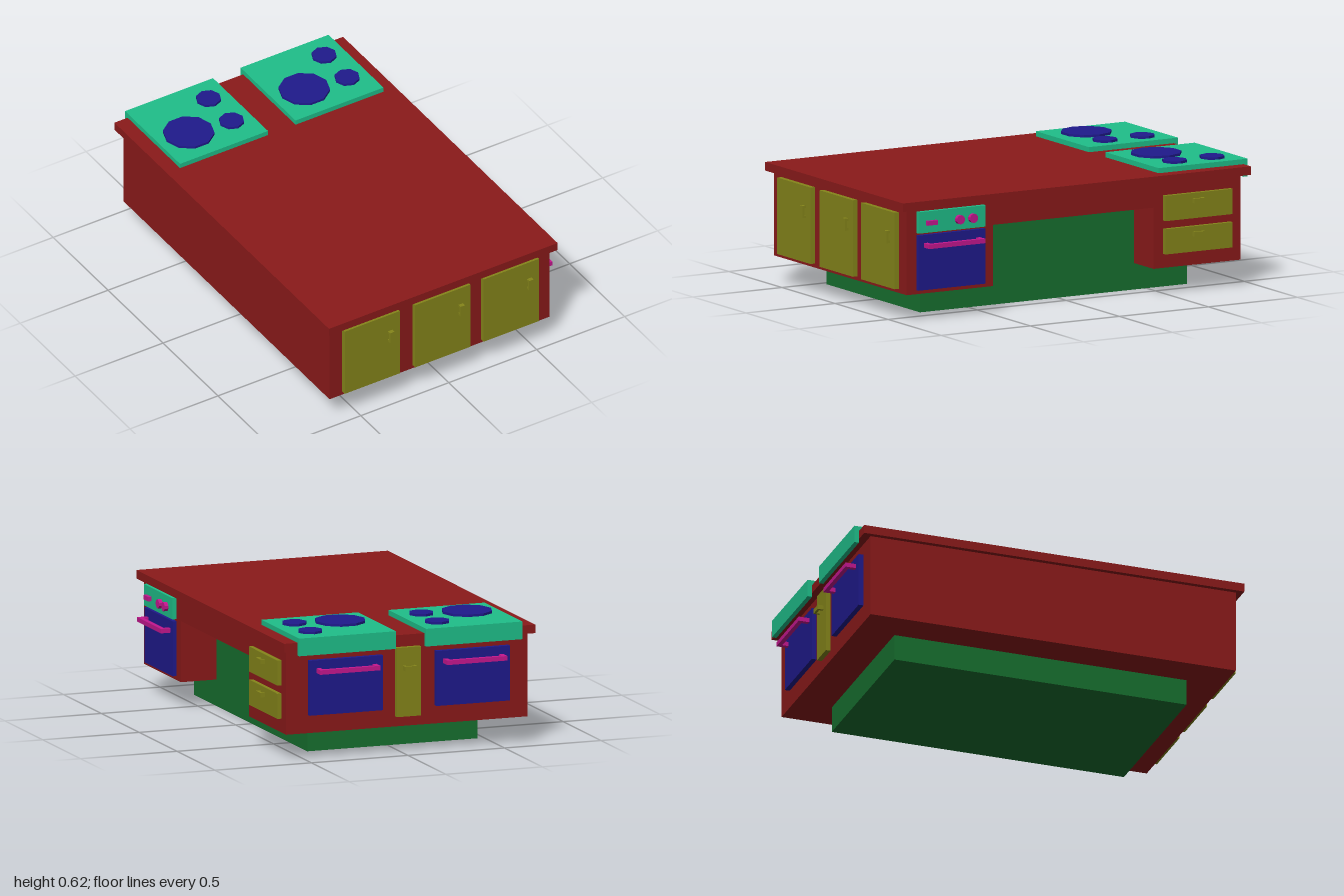
import * as THREE from 'three';

const mat = (color) => new THREE.MeshStandardMaterial({ color, flatShading: true });

export function createModel() {
  const root = new THREE.Group();
  const red = mat(0x8b1a1a), green = mat(0x17702f), blue = mat(0x1f1a8c);
  const teal = mat(0x1fbf8a), olive = mat(0x85851a), magenta = mat(0xc4178f);

  const add = (parent, name, geometry, material) => {
    const m = new THREE.Mesh(geometry, material);
    m.name = name;
    parent.add(m);
    return m;
  };
  // Box given by its limits on each axis
  const box = (parent, name, material, x0, x1, y0, y1, z0, z1) => {
    const m = add(parent, name, new THREE.BoxGeometry(x1 - x0, y1 - y0, z1 - z0), material);
    m.position.set((x0 + x1) / 2, (y0 + y1) / 2, (z0 + z1) / 2);
    return m;
  };
  // Group whose local +z points out of a side of the cabinet
  const panelGroup = (name, x, y, z, turn) => {
    const g = new THREE.Group();
    g.name = name;
    g.position.set(x, y, z);
    g.rotation.y = turn;
    root.add(g);
    return g;
  };
  // U-shaped pull: a bar on two legs, between depths z0 and z1
  const pull = (parent, name, material, x, y, length, thick, z0, z1, bar, upright = false) => {
    const g = new THREE.Group();
    g.name = name;
    g.position.set(x, y, 0);
    if (upright) g.rotation.z = Math.PI / 2;
    parent.add(g);
    const h = length / 2, t = thick / 2;
    box(g, 'handleBar', material, -h, h, -t, t, z1 - bar, z1);
    for (const s of [-1, 1]) {
      const c = s * (h - bar / 2);
      box(g, 'handleLeg', material, c - bar / 2, c + bar / 2, -t, t, z0, z1 - bar);
    }
  };

  // Plinth, also the back wall of the knee recess
  box(root, 'plinth', green, -0.465, 0.415, 0, 0.43, -0.73, 0.77);

  // Cabinet body with an open recess on the right side
  box(root, 'cabinetCore', red, -0.65, 0.4, 0.13, 0.545, -0.92, 0.955);
  const side = new THREE.Shape([
    [-0.955, 0.13], [-0.47, 0.13], [-0.47, 0.43], [0.43, 0.43],
    [0.43, 0.13], [0.92, 0.13], [0.92, 0.545], [-0.955, 0.545],
  ].map(([u, v]) => new THREE.Vector2(u, v)));
  const sideGeo = new THREE.ExtrudeGeometry(side, { depth: 0.2, bevelEnabled: false });
  sideGeo.rotateY(Math.PI / 2).translate(0.4, 0, 0);
  add(root, 'cabinetRightSide', sideGeo, red);
  box(root, 'countertop', red, -0.675, 0.625, 0.545, 0.587, -0.962, 0.99);

  // Front cupboard doors
  for (const x of [-0.422, -0.022, 0.368]) {
    const g = panelGroup('frontDoor', x, 0.3375, 0.955, 0);
    box(g, 'doorPanel', olive, -0.157, 0.157, -0.1875, 0.1875, 0, 0.025);
    pull(g, 'doorHandle', olive, 0.102, 0.0625, 0.06, 0.025, 0.025, 0.045, 0.012, true);
  }

  // Drawers on the right side
  for (const y of [0.2605, 0.424]) {
    const g = panelGroup('drawer', 0.6, y, -0.673, Math.PI / 2);
    box(g, 'drawerFront', olive, -0.188, 0.188, -0.062, 0.062, 0, 0.022);
    pull(g, 'drawerHandle', olive, -0.008, 0.026, 0.06, 0.023, 0.022, 0.045, 0.012);
  }

  // Oven on the right side, with controls
  const oven = panelGroup('sideOven', 0.6, 0, 0.713, Math.PI / 2);
  box(oven, 'ovenDoor', blue, -0.188, 0.188, 0.15, 0.42, 0, 0.02);
  box(oven, 'controlPanel', teal, -0.188, 0.188, 0.43, 0.535, 0, 0.022);
  box(oven, 'controlDisplay', magenta, -0.148, -0.09, 0.468, 0.49, 0.022, 0.04);
  for (const x of [0.038, 0.112]) {
    const knob = add(oven, 'knob', new THREE.CylinderGeometry(0.023, 0.023, 0.02, 10), magenta);
    knob.rotation.x = Math.PI / 2;
    knob.position.set(x, 0.48, 0.031);
  }
  pull(oven, 'ovenHandle', magenta, 0, 0.37, 0.315, 0.022, 0.02, 0.07, 0.022);

  // Two cookers at the back: hob with a drop edge, burners and oven door
  for (const x of [-0.35, 0.307]) {
    const hob = new THREE.Group();
    hob.name = 'hob';
    hob.position.set(x, 0, 0);
    root.add(hob);
    box(hob, 'hobPlate', teal, -0.25, 0.25, 0.587, 0.612, -0.985, -0.485);
    box(hob, 'hobEdge', teal, -0.25, 0.25, 0.525, 0.587, -0.985, -0.962);
    for (const [bx, bz, r, n] of [[-0.085, -0.67, 0.125, 10], [0.14, -0.85, 0.062, 8], [0.14, -0.64, 0.062, 8]]) {
      const b = add(hob, 'burner', new THREE.CylinderGeometry(r, r, 0.012, n), blue);
      b.rotation.y = Math.PI / 2;
      b.position.set(bx, 0.618, bz);
    }
    const g = panelGroup('backOven', x - 0.01, 0, -0.92, Math.PI);
    box(g, 'ovenDoor', blue, -0.19, 0.19, 0.22, 0.49, 0, 0.025);
    pull(g, 'ovenHandle', magenta, 0, 0.44, 0.312, 0.022, 0.025, 0.08, 0.022);
  }

  // Narrow cupboard between the cookers
  const narrow = panelGroup('narrowDoor', -0.027, 0, -0.92, Math.PI);
  box(narrow, 'doorPanel', olive, -0.063, 0.063, 0.18, 0.52, 0, 0.025);
  pull(narrow, 'doorHandle', olive, 0, 0.42, 0.062, 0.023, 0.025, 0.055, 0.012);

  return root;
}
